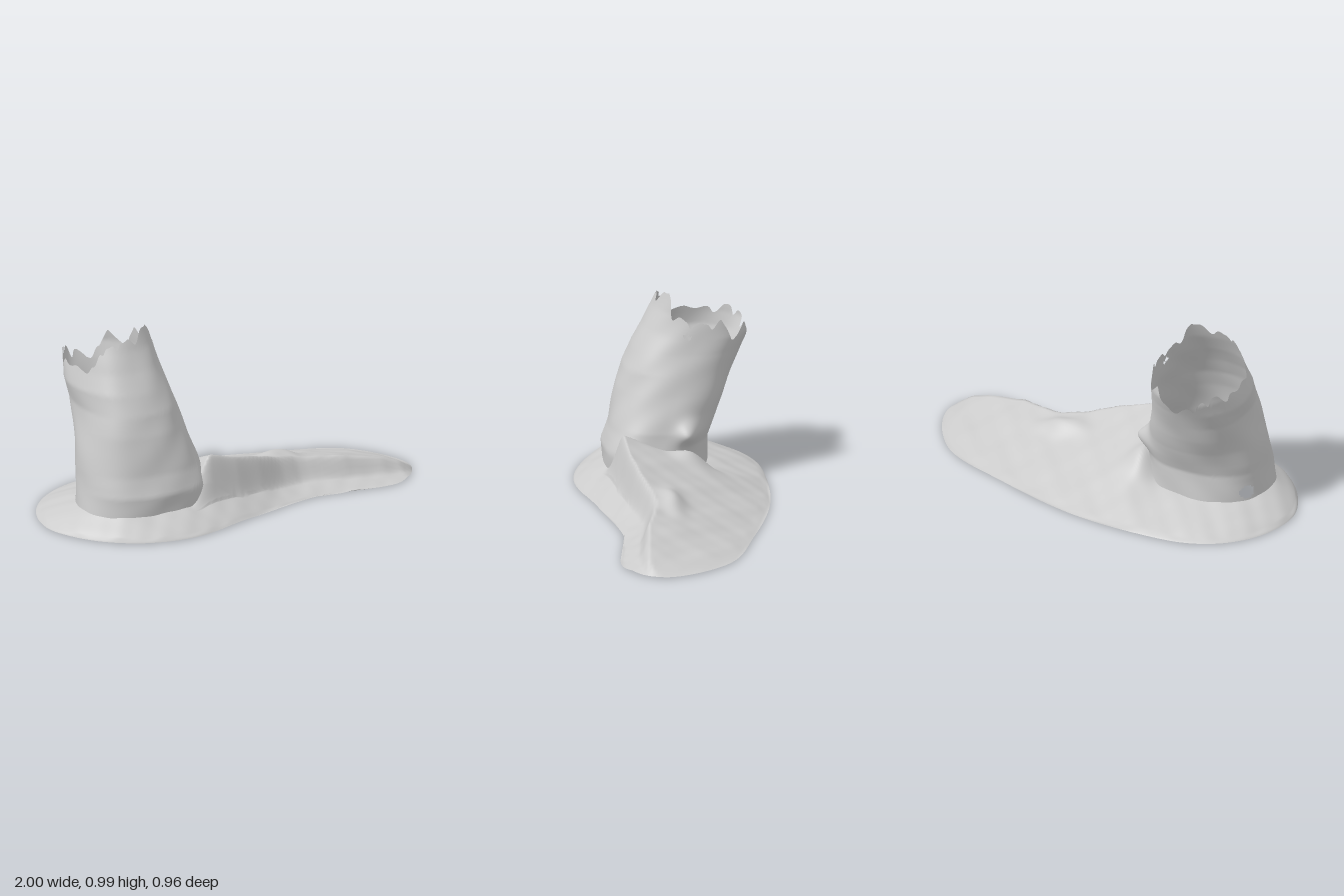
import * as THREE from 'three';

const N = 240; // samples around every loop
const { lerp, smoothstep } = THREE.MathUtils;

// Linear lookup in a short list of [key, value] pairs
function table(pts, k) {
  if (k <= pts[0][0]) return pts[0][1];
  for (let i = 1; i < pts.length; i++) {
    const [k0, v0] = pts[i - 1], [k1, v1] = pts[i];
    if (k <= k1) return lerp(v0, v1, (k - k0) / (k1 - k0));
  }
  return pts[pts.length - 1][1];
}

const bump = (x, z, cx, cz, rx, rz) => Math.exp(-(((x - cx) / rx) ** 2) - ((z - cz) / rz) ** 2);
const ripple = (x, y, z) =>
  Math.sin(9 * x + 5 * y + 3) * Math.sin(11 * z - 7 * y) + 0.5 * Math.sin(23 * x - 13 * y) * Math.sin(19 * z + 17 * y + 1);

// Sole outline, starting at the toe tip and running past the front edge
const outline = new THREE.CatmullRomCurve3([
  [1, 0.17], [0.84, 0.355], [0.4, 0.31], [-0.02, 0.39], [-0.42, 0.478], [-0.66, 0.43], [-0.84, 0.31], [-0.95, 0.16],
  [-1, 0], [-0.95, -0.2], [-0.82, -0.36], [-0.64, -0.455], [-0.4, -0.485], [0, -0.465], [0.45, -0.34], [0.84, -0.17],
].map(([x, z]) => new THREE.Vector3(x, 0, z)), true);

// Sole section along x: front edge, back edge, crest position and crest height
const frontEdge = [[-0.4, 0.48], [-0.2, 0.44], [0, 0.385], [0.2, 0.33], [0.4, 0.31], [0.6, 0.325], [0.8, 0.355], [0.9, 0.345], [1, 0.2]];
const backEdge = [[-0.4, -0.485], [0, -0.465], [0.4, -0.355], [0.6, -0.29], [0.8, -0.2], [0.93, -0.05], [1, 0.15]];
const crestZ = [[-0.4, 0.29], [-0.2, 0.25], [-0.05, 0.235], [0.1, 0.205], [0.25, 0.16], [0.35, 0.145], [0.45, 0.16], [0.6, 0.205], [0.8, 0.23], [0.95, 0.235], [1, 0.18]];
const crestY = [[-0.4, 0.33], [-0.2, 0.32], [-0.1, 0.295], [0, 0.265], [0.2, 0.205], [0.4, 0.155], [0.6, 0.145], [0.8, 0.095], [0.9, 0.065], [1, 0]];

// Height of the sole; s runs from 0 at its rim to 1 at the shaft
function soleY(x, z, s) {
  const zc = table(crestZ, x), zf = table(frontEdge, x), zb = table(backEdge, x);
  let f;
  if (z > zc) {
    const v = Math.max(0, (zf - z) / (zf - zc));
    f = v < 0.65 ? 0.3 * v / 0.65 : 0.3 + 0.7 * smoothstep(v, 0.6, 1.02);
  } else f = Math.max(0, (z - zb) / (zc - zb));
  const inner = smoothstep(s, 0, 0.15);
  const foot = table(crestY, x) * Math.min(f, 1)
    + inner * (0.035 * bump(x, z, 0.32, 0.05, 0.13, 0.05) + 0.05 * bump(x, z, -0.2, -0.09, 0.08, 0.09));
  const heel = 0.095 * Math.pow(s, 0.8);
  return 0.01 + lerp(heel, foot, smoothstep(x, -0.36, -0.2)) + inner * 0.004 * ripple(2 * x, 0, 2 * z);
}

// Shaft extents by height
const xMin = [[0, -0.85], [0.1, -0.84], [0.3, -0.82], [0.6, -0.78], [0.7, -0.79], [0.8, -0.77], [1, -0.74]];
const xMax = [[0, -0.17], [0.32, -0.21], [0.5, -0.26], [0.7, -0.31], [0.9, -0.35], [1, -0.36]];
const zMin = [[0, -0.2], [0.25, -0.2], [0.4, -0.255], [0.5, -0.3], [0.6, -0.34], [0.7, -0.38], [0.78, -0.415], [1, -0.42]];
const zMax = [[0, 0.32], [0.2, 0.335], [0.3, 0.3], [0.4, 0.28], [0.5, 0.26], [0.6, 0.23], [0.7, 0.18], [0.8, 0.12], [0.9, 0.07], [1, 0.03]];
const rimY = [[0, 0.86], [25, 0.88], [42, 0.93], [56, 1], [70, 0.98], [85, 0.96], [100, 0.95], [130, 0.92], [145, 0.83],
  [180, 0.79], [225, 0.82], [250, 0.77], [270, 0.73], [288, 0.76], [302, 0.83], [320, 0.78], [342, 0.87], [360, 0.86]];

function shaftPoint(a, y) {
  const x0 = table(xMin, y), x1 = table(xMax, y), z0 = table(zMin, y), z1 = table(zMax, y);
  const c = Math.cos(a), s = Math.sin(a);
  // the instep corner is squarer near the sole
  const e = c > 0 && s > 0 ? lerp(0.68, 0.9, smoothstep(y, 0.2, 0.6)) : 0.9;
  const round = (v) => Math.sign(v) * Math.pow(Math.abs(v), e);
  const x = (x0 + x1) / 2 + (x1 - x0) / 2 * round(c);
  const z = (z0 + z1) / 2 + (z1 - z0) / 2 * round(s);
  const knob = c > 0 ? 0.06 * bump(z, y, -0.08, 0.32, 0.055, 0.055) : 0; // lump on the toe side
  const r = 0.006 * ripple(x, y, z);
  return new THREE.Vector3(x + r * c + knob, y, z + r * s);
}

// Height where the shaft meets the sole
function shaftBase(a) {
  let y = 0.1;
  for (let i = 0; i < 40; i++) {
    const p = shaftPoint(a, y);
    y = lerp(y, soleY(p.x, p.z, 1), 0.3);
  }
  return y;
}

// Ragged torn rim
function shaftTop(a) {
  const d = THREE.MathUtils.radToDeg(a);
  return table(rimY, d) - 0.035 * Math.pow(Math.abs(Math.sin(6 * a + Math.sin(3 * a))), 6) + 0.006 * Math.sin(17 * a);
}

// Skin between closed loops; point(i, k) gives each corner, open(p) leaves gaps
function loft(rows, point, open = () => false) {
  const pos = [], idx = [], pts = [];
  for (let k = 0; k <= rows; k++) for (let i = 0; i < N; i++) {
    const p = point(i, k / rows);
    pts.push(p);
    pos.push(p.x, p.y, p.z);
  }
  for (let k = 0; k < rows; k++) for (let i = 0; i < N; i++) {
    const a = k * N + i, b = k * N + (i + 1) % N;
    if (!open(pts[a])) idx.push(a, a + N, b, b, a + N, b + N);
  }
  const g = new THREE.BufferGeometry();
  g.setAttribute('position', new THREE.Float32BufferAttribute(pos, 3));
  g.setIndex(idx);
  g.computeVertexNormals();
  return g;
}

export function createModel() {
  const group = new THREE.Group();
  const material = new THREE.MeshStandardMaterial({ color: 0xcccccc, side: THREE.DoubleSide });
  const add = (name, geometry) => {
    const mesh = new THREE.Mesh(geometry, material);
    mesh.name = name;
    group.add(mesh);
  };
  const angles = Array.from({ length: N }, (_, i) => i / N * Math.PI * 2);
  const bases = angles.map(shaftBase);
  const feet = angles.map((a, i) => shaftPoint(a, bases[i]));
  const rim = angles.map((_, i) => outline.getPoint(i / N));

  // Wide sole, open under the shaft
  add('sole', loft(60, (i, s) => {
    if (s === 1) return feet[i].clone();
    const p = rim[i].clone().lerp(feet[i], s);
    p.y = soleY(p.x, p.z, s);
    return p;
  }));

  // Hollow leaning shaft with two small tears
  add('shaft', loft(60,
    (i, t) => shaftPoint(angles[i], lerp(bases[i], shaftTop(angles[i]), t)),
    (p) => (p.x > -0.45 && Math.hypot((p.z + 0.085) / 0.022, (p.y - 0.79) / 0.012) < 1)
      || (p.x < -0.72 && Math.hypot((p.z + 0.08) / 0.035, (p.y - 0.14) / 0.035) < 1)));
  return group;
}
